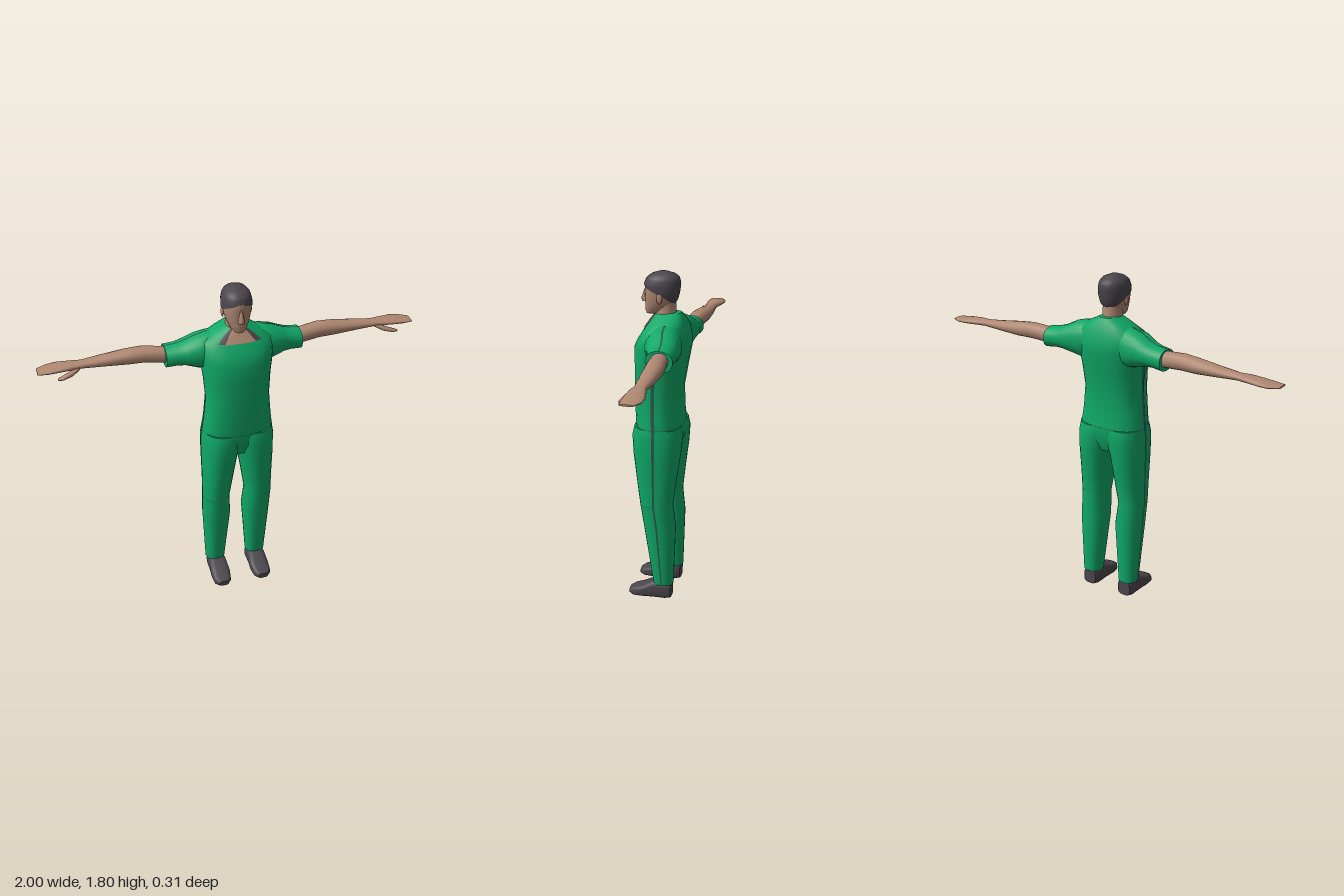
import * as THREE from 'three';

const mat = (name, color) => {
  const m = new THREE.MeshStandardMaterial({ color });
  m.name = name;
  return m;
};

// How section values [t, a0, a1, b0, b1] map to x, y, z for each loft axis
const AXES = {
  x: (t, a, b) => [t, b, a],
  y: (t, a, b) => [a, t, b],
  z: (t, a, b) => [b, a, t],
};

// Point on a rounded-rectangle section; n = 2 is an ellipse, more is boxier
function sectionPoint(axis, [t, a0, a1, b0, b1], angle, n, grow) {
  const c = Math.cos(angle), s = Math.sin(angle);
  const a = Math.sign(c) * Math.abs(c) ** (2 / n), b = Math.sign(s) * Math.abs(s) ** (2 / n);
  return AXES[axis](t, (a0 + a1) / 2 + a * ((a1 - a0) / 2 + grow), (b0 + b1) / 2 + b * ((b1 - b0) / 2 + grow));
}

// Skin over rows of points; closed rows get flat end caps
function skin(rows, closed) {
  const pos = rows.flat(2), idx = [], n = rows[0].length;
  const span = closed ? n : n - 1;
  for (let i = 0; i < rows.length - 1; i++) {
    for (let j = 0; j < span; j++) {
      const k = (j + 1) % n, A = i * n + j, B = A + n, C = i * n + k, D = C + n;
      idx.push(A, B, C, B, D, C);
    }
  }
  if (closed) {
    [rows[0], rows[rows.length - 1]].forEach((row, end) => {
      const start = pos.length / 3;
      row.forEach(p => pos.push(...p));
      pos.push(...[0, 1, 2].map(d => row.reduce((sum, p) => sum + p[d], 0) / n));
      for (let j = 0; j < n; j++) {
        const k = (j + 1) % n;
        if (end) idx.push(start + j, start + n, start + k);
        else idx.push(start + j, start + k, start + n);
      }
    });
  }
  const g = new THREE.BufferGeometry();
  g.setAttribute('position', new THREE.Float32BufferAttribute(pos, 3));
  g.setIndex(idx);
  g.computeVertexNormals();
  return g;
}

// Loft along an axis; from/to limit it to an open strip of the surface
function loft(axis, sections, { n = 2.4, grow = 0, from = 0, to = Math.PI * 2, seg = 24 } = {}) {
  const closed = to - from > 6.28;
  const count = closed ? seg : seg + 1;
  return skin(sections.map(s => Array.from({ length: count }, (_, j) =>
    sectionPoint(axis, s, from + (to - from) * j / seg, n, grow))), closed);
}

// Section interpolated at t, and the part of a loft between two values
function at(sections, t) {
  let i = 0;
  while (i < sections.length - 2 && sections[i + 1][0] < t) i++;
  const p = sections[i], q = sections[i + 1], f = (t - p[0]) / (q[0] - p[0]);
  return p.map((v, k) => v + (q[k] - v) * f);
}
const slice = (s, lo, hi) => [at(s, lo), ...s.filter(r => r[0] > lo && r[0] < hi), at(s, hi)];

function mirrored(geometry) {
  const g = geometry.clone().scale(-1, 1, 1), ix = g.index.array;
  for (let i = 0; i < ix.length; i += 3) [ix[i], ix[i + 1]] = [ix[i + 1], ix[i]];
  g.computeVertexNormals();
  return g;
}

// [y, x min, x max, z back, z front]
const even = ([y, w, zb, zf]) => [y, -w, w, zb, zf];
const TORSO = [
  [0.99, 0.19, -0.122, 0.131], [1.08, 0.178, -0.113, 0.136], [1.2, 0.167, -0.112, 0.14],
  [1.32, 0.175, -0.132, 0.14], [1.42, 0.188, -0.15, 0.14], [1.47, 0.193, -0.147, 0.115],
  [1.52, 0.185, -0.135, 0.083], [1.56, 0.115, -0.12, 0.055], [1.595, 0.045, -0.1, 0.03],
].map(even);
const HIPS = [[0.86, 0.1, -0.09, 0.09], [0.93, 0.185, -0.122, 0.125], [1.0, 0.188, -0.122, 0.13]].map(even);
const LEG = [
  [0.09, 0.065, 0.172, -0.09, 0.02], [0.43, 0.037, 0.19, -0.1, 0.073], [0.56, 0.047, 0.192, -0.085, 0.092],
  [0.7, 0.026, 0.192, -0.102, 0.112], [0.85, 0.002, 0.195, -0.122, 0.132],
  [0.95, -0.025, 0.195, -0.13, 0.14], [1.0, -0.03, 0.188, -0.12, 0.13],
];
const HEAD = [
  [1.585, 0.025, 0.02, 0.085], [1.6, 0.042, -0.03, 0.09], [1.63, 0.056, -0.055, 0.09],
  [1.66, 0.066, -0.075, 0.09], [1.7, 0.073, -0.085, 0.092], [1.74, 0.072, -0.09, 0.092],
  [1.77, 0.065, -0.086, 0.08], [1.79, 0.048, -0.065, 0.055], [1.802, 0.018, -0.03, 0.02],
].map(even);
const NECK = [[1.48, 0.075, -0.09, 0.05], [1.56, 0.052, -0.075, 0.04], [1.66, 0.05, -0.068, 0.04]].map(even);
const NOSE = [[1.645, 0.017, 0.07, 0.11], [1.66, 0.015, 0.07, 0.114], [1.715, 0.006, 0.07, 0.094]].map(even);

// [x, z min, z max, y min, y max]
const SLEEVE = [
  [0.08, -0.12, 0.03, 1.36, 1.555], [0.14, -0.135, 0.045, 1.35, 1.553], [0.2, -0.14, 0.045, 1.365, 1.538],
  [0.26, -0.14, 0.02, 1.38, 1.508], [0.3, -0.135, 0.008, 1.382, 1.495], [0.36, -0.14, 0, 1.376, 1.487],
];
const ARM = [
  [0.3, -0.115, -0.03, 1.395, 1.475], [0.37, -0.118, -0.03, 1.397, 1.48], [0.47, -0.135, -0.04, 1.407, 1.489],
  [0.55, -0.14, -0.045, 1.407, 1.483], [0.68, -0.135, -0.055, 1.415, 1.466], [0.78, -0.125, -0.063, 1.42, 1.455],
  [0.83, -0.135, -0.055, 1.42, 1.455], [0.9, -0.15, -0.05, 1.42, 1.45], [0.95, -0.148, -0.05, 1.42, 1.443],
  [1.0, -0.125, -0.055, 1.426, 1.435],
];
const THUMB = [
  [0.79, -0.09, -0.06, 1.42, 1.44], [0.83, -0.075, -0.035, 1.402, 1.43],
  [0.88, -0.055, -0.02, 1.395, 1.415], [0.905, -0.045, -0.028, 1.396, 1.406],
];
// [z, y min, y max, x min, x max]
const SHOE = [
  [-0.08, 0.006, 0.09, 0.078, 0.155], [-0.05, 0, 0.1, 0.066, 0.165], [0.02, 0, 0.1, 0.066, 0.167],
  [0.08, 0, 0.066, 0.062, 0.17], [0.13, 0, 0.05, 0.07, 0.166], [0.155, 0.006, 0.036, 0.09, 0.145],
];

// Cropped hair: a cap from the hairline up to the crown
function hairCap() {
  const line = new THREE.SplineCurve([[-1, 1.645], [-0.3, 1.655], [0, 1.695], [0.35, 1.722], [1, 1.745]]
    .map(p => new THREE.Vector2(...p)));
  const rows = [];
  for (let i = 0; i <= 10; i++) {
    rows.push(Array.from({ length: 32 }, (_, j) => {
      const angle = j / 32 * Math.PI * 2;
      const low = line.getPoint(Math.acos(-Math.sin(angle)) / Math.PI).y;
      return sectionPoint('y', at(HEAD, low + (1.804 - low) * i / 10), angle, 2.2, 0.004);
    }));
  }
  return skin(rows, true);
}

export function createModel() {
  const model = new THREE.Group();
  model.name = 'figure';
  const green = mat('green cloth', 0x0fa868), skinTone = mat('skin', 0xb08872);
  const dark = mat('dark grey', 0x4b464d), trim = mat('dark green trim', 0x2b5a4c);
  trim.side = THREE.DoubleSide;

  const add = (name, geometry, material) => {
    const mesh = new THREE.Mesh(geometry, material);
    mesh.name = name;
    model.add(mesh);
  };
  const pair = (name, geometry, material) => {
    add(name + 'Left', geometry, material);
    add(name + 'Right', mirrored(geometry), material);
  };

  // Head and neck
  add('head', loft('y', HEAD, { n: 2.2 }), skinTone);
  add('nose', loft('y', NOSE, { n: 2, seg: 8 }), skinTone);
  add('neck', loft('y', NECK, { n: 2 }), skinTone);
  add('hair', hairCap(), dark);
  pair('ear', new THREE.SphereGeometry(1, 10, 8).scale(0.008, 0.028, 0.016).translate(0.072, 1.675, 0), skinTone);

  // Clothes
  add('shirt', loft('y', TORSO), green);
  add('hips', loft('y', HIPS), green);
  pair('sleeve', loft('x', SLEEVE, { n: 2.2 }), green);
  pair('trouserLeg', loft('y', LEG, { n: 2.2 }), green);

  // Open neckline: dark collar with the chest showing inside
  const front = Math.PI / 2, neckline = slice(TORSO, 1.525, 1.59);
  add('collar', loft('y', neckline, { grow: 0.003, from: front - 0.62, to: front + 0.62 }), dark);
  add('chest', loft('y', neckline, { grow: 0.006, from: front - 0.38, to: front + 0.38 }), skinTone);

  // Side stripes and seams
  const strip = { grow: 0.002, from: -0.045, to: 0.045, seg: 4 };
  pair('shirtStripe', loft('y', slice(TORSO, 0.99, 1.4), strip), trim);
  pair('legStripe', loft('y', slice(LEG, 0.09, 1), { ...strip, n: 2.2 }), trim);
  pair('sleeveStripe', loft('x', slice(SLEEVE, 0.14, 0.36), { ...strip, n: 2.2, from: front - 0.045, to: front + 0.045 }), trim);
  add('waistSeam', loft('y', slice(TORSO, 1.0, 1.003), { grow: 0.001, to: 6.27 }), trim);
  pair('kneeSeam', loft('y', slice(LEG, 0.56, 0.563), { n: 2.2, grow: 0.001, to: 1.4 }), trim);

  // Arms, hands and shoes
  pair('arm', loft('x', ARM, { n: 2.2, seg: 16 }), skinTone);
  pair('thumb', loft('x', THUMB, { n: 2, seg: 8 }), skinTone);
  pair('shoe', loft('z', SHOE, { n: 3.5 }), dark);
  return model;
}
